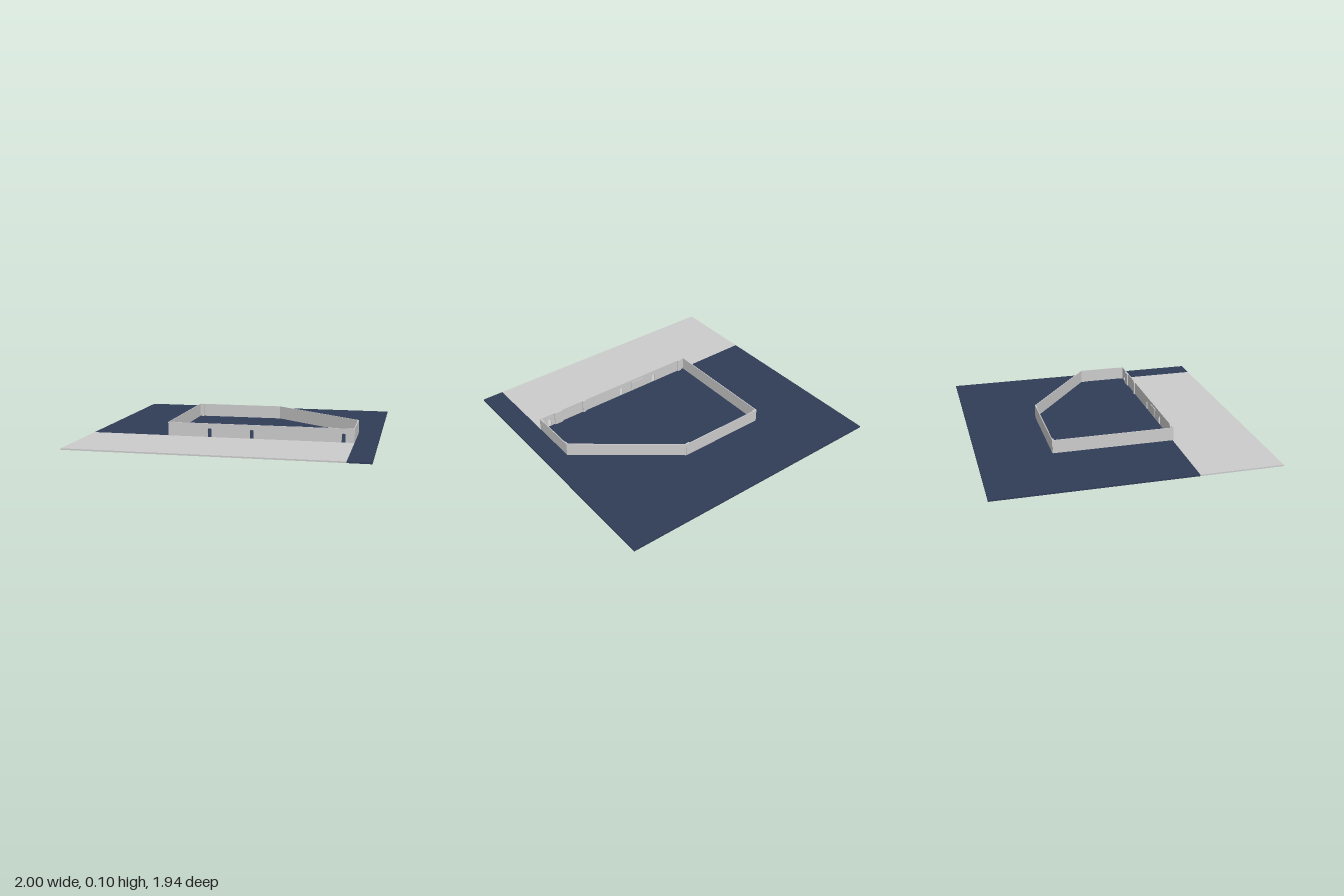
import * as THREE from 'three';

const grey = new THREE.MeshStandardMaterial({ color: 0xcccccc, flatShading: true, side: THREE.DoubleSide });
const navy = new THREE.MeshStandardMaterial({ color: 0x303c57, flatShading: true, side: THREE.DoubleSide });

const FLOOR = 0.01, TOP = 0.105, THICK = 0.006;

export function createModel() {
  const model = new THREE.Group();

  const add = (name, geometry, material = grey) => {
    const mesh = new THREE.Mesh(geometry, material);
    mesh.name = name;
    model.add(mesh);
    return mesh;
  };
  // Box given by its limits on each axis
  const block = (name, x0, x1, y0, y1, z0, z1, material) =>
    add(name, new THREE.BoxGeometry(x1 - x0, y1 - y0, z1 - z0), material)
      .position.set((x0 + x1) / 2, (y0 + y1) / 2, (z0 + z1) / 2);

  // L-shaped ground with the paved strip filling its front corner
  const outline = [[-1, -0.97], [1, -0.97], [1, 0.97], [0.845, 0.97], [0.845, 0.39], [-1, 0.39]];
  const ground = new THREE.Shape(outline.map(([x, z]) => new THREE.Vector2(x, -z)));
  const groundGeometry = new THREE.ExtrudeGeometry(ground, { depth: FLOOR, bevelEnabled: false });
  groundGeometry.rotateX(-Math.PI / 2);
  add('ground', groundGeometry, navy);
  block('pavement', -1, 0.845, 0, FLOOR, 0.39, 0.97);

  // Front wall with three arched doorways
  const front = new THREE.Shape();
  front.moveTo(-0.45, FLOOR);
  for (const x of [-0.153, 0.145, 0.772]) {
    const r = 0.013;
    front.lineTo(x - r, FLOOR);
    front.lineTo(x - r, 0.062);
    front.quadraticCurveTo(x - r, 0.07, x, 0.07);
    front.quadraticCurveTo(x + r, 0.07, x + r, 0.062);
    front.lineTo(x + r, FLOOR);
  }
  front.lineTo(0.845, FLOOR);
  front.lineTo(0.845, TOP);
  front.lineTo(-0.45, TOP);
  const frontGeometry = new THREE.ExtrudeGeometry(front, { depth: THICK, bevelEnabled: false, curveSegments: 4 });
  frontGeometry.translate(0, 0, 0.389);
  add('frontWall', frontGeometry);

  // Remaining walls run along the plan from corner to corner
  const plan = [[-0.447, 0.39], [-0.447, -0.46], [0.195, -0.46], [0.842, 0.04], [0.842, 0.39]];
  const names = ['rightWall', 'backWall', 'slantedWall', 'leftWall'];
  names.forEach((name, i) => {
    const [x0, z0] = plan[i], [x1, z1] = plan[i + 1];
    const length = Math.hypot(x1 - x0, z1 - z0);
    const wall = add(name, new THREE.BoxGeometry(length, TOP - FLOOR, THICK));
    wall.position.set((x0 + x1) / 2, (TOP + FLOOR) / 2, (z0 + z1) / 2);
    wall.rotation.y = -Math.atan2(z1 - z0, x1 - x0);
  });

  // Pilasters on the inside of the walls: x range, z range
  [
    [-0.42, -0.39, 0.38, 0.39], [0.465, 0.492, 0.38, 0.39], [0.665, 0.73, 0.38, 0.39],
    [0.833, 0.842, 0.355, 0.39], [0.833, 0.842, 0.04, 0.065],
    [-0.447, -0.415, -0.46, -0.45], [0.165, 0.195, -0.46, -0.45],
  ].forEach(([x0, x1, z0, z1]) => block('pilaster', x0, x1, FLOOR, TOP, z0, z1));

  // Shallow panel on the inner face of the front wall
  block('wallPanel', -0.055, 0.05, 0.025, 0.085, 0.384, 0.39);

  return model;
}
